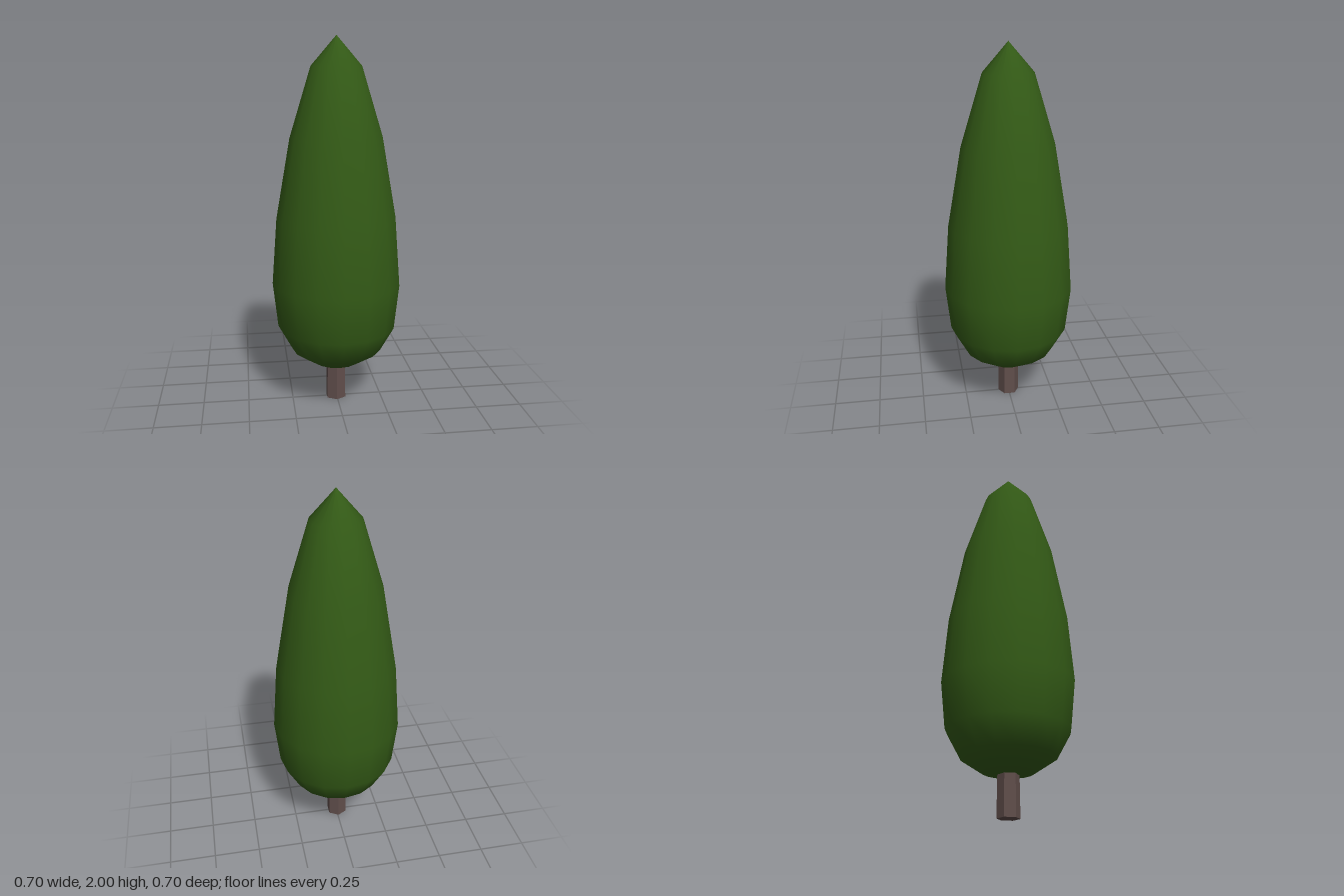
import * as THREE from 'three';

export function createModel() {
  const tree = new THREE.Group();
  tree.name = 'coniferTree';

  // Crown: smooth teardrop of revolution with 16 sides
  const profile = [
    [0, 0.205], [0.135, 0.225], [0.249, 0.3], [0.325, 0.437], [0.352, 0.685],
    [0.325, 1.045], [0.249, 1.475], [0.135, 1.845], [0, 2],
  ].map(([r, y]) => new THREE.Vector2(r, y));
  const crown = new THREE.Mesh(
    new THREE.LatheGeometry(profile, 16),
    new THREE.MeshStandardMaterial({ color: 0x335a16 })
  );
  crown.name = 'crown';
  tree.add(crown);

  // Trunk: slightly tapered hexagonal post reaching into the crown
  const height = 0.28;
  const trunk = new THREE.Mesh(
    new THREE.CylinderGeometry(0.055, 0.059, height, 6),
    new THREE.MeshStandardMaterial({ color: 0x604e4b, flatShading: true })
  );
  trunk.name = 'trunk';
  trunk.position.set(-0.004, height / 2, 0);
  tree.add(trunk);

  return tree;
}
